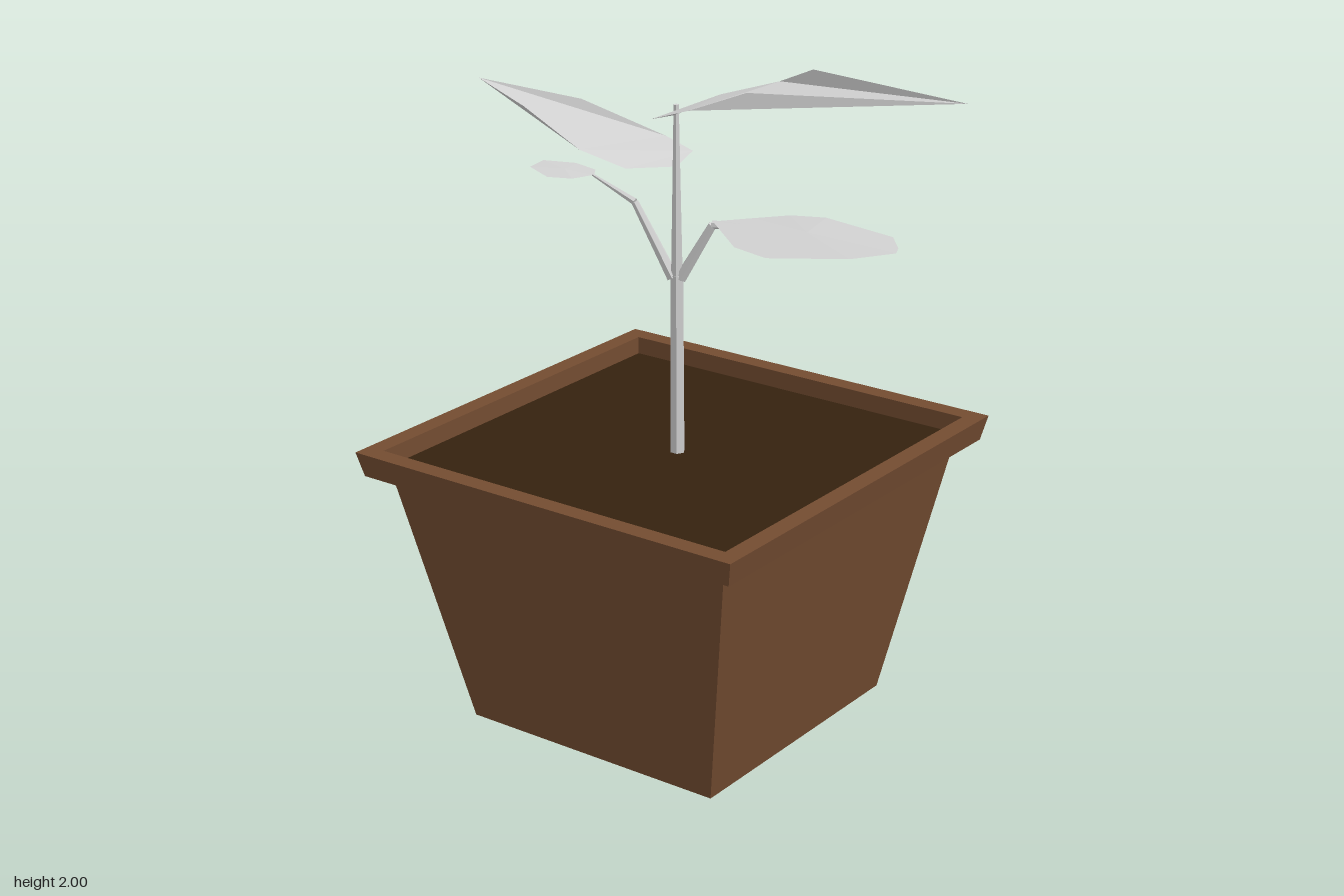
import * as THREE from 'three';

const V = (p) => new THREE.Vector3(...p);

// Faceted normals for the low-poly look
function faceted(geo) {
  const g = geo.index ? geo.toNonIndexed() : geo;
  g.computeVertexNormals();
  return g;
}

export function createModel() {
  const clay = new THREE.MeshStandardMaterial({ color: 0x734c31 });
  const earth = new THREE.MeshStandardMaterial({ color: 0x35220f });
  const stemGrey = new THREE.MeshStandardMaterial({ color: 0xd0d0d0 });
  const leafGrey = new THREE.MeshStandardMaterial({ color: 0xd2d2d2, side: THREE.DoubleSide });

  const model = new THREE.Group();
  const CZ = -0.105; // pot and stem axis

  function add(name, geo, mat, parent = model) {
    const m = new THREE.Mesh(faceted(geo), mat);
    m.name = name;
    parent.add(m);
    return m;
  }

  // Square pot: half-widths and heights turned in four steps
  const profile = [[0, 0], [0.435, 0], [0.59, 0.795], [0.645, 0.795], [0.662, 0.87], [0.605, 0.87], [0.605, 0.8]]
    .map(([r, y]) => new THREE.Vector2(r * Math.SQRT2, y));
  add('pot', new THREE.LatheGeometry(profile, 4, Math.PI / 4), clay).position.z = CZ;

  // Soil
  const soil = add('soil', new THREE.PlaneGeometry(1.21, 1.21).rotateX(-Math.PI / 2), earth);
  soil.position.set(0, 0.815, CZ);

  // Tapered limb between two points
  function limb(name, a, b, r0, r1) {
    const from = V(a), to = V(b), dir = to.clone().sub(from);
    const m = add(name, new THREE.CylinderGeometry(r1, r0, dir.length(), 6), stemGrey);
    m.position.copy(from).add(to).multiplyScalar(0.5);
    m.quaternion.setFromUnitVectors(new THREE.Vector3(0, 1, 0), dir.normalize());
  }
  limb('lowerStem', [0, 0.81, CZ], [0, 1.36, CZ], 0.022, 0.02);
  limb('upperStem', [0, 1.36, CZ], [0, 1.86, CZ], 0.018, 0.008);
  limb('frontStalk', [0.005, 1.35, -0.095], [0.03, 1.52, 0], 0.018, 0.013);
  limb('frontStalkEnd', [0.03, 1.52, 0], [0.05, 1.53, 0.1], 0.013, 0.004);
  limb('backStalk', [-0.005, 1.35, -0.115], [-0.025, 1.56, -0.235], 0.018, 0.011);
  limb('backStalkEnd', [-0.025, 1.56, -0.235], [-0.04, 1.62, -0.375], 0.011, 0.004);

  // Leaf sheet from corner points and triangles, turned so the faces look up
  function leaf(name, pts, faces) {
    const verts = [];
    for (const f of faces) {
      const [a, b, c] = f.map((i) => V(pts[i]));
      const up = b.clone().sub(a).cross(c.clone().sub(a)).y >= 0;
      for (const p of up ? [a, b, c] : [a, c, b]) verts.push(p.x, p.y, p.z);
    }
    const g = new THREE.BufferGeometry();
    g.setAttribute('position', new THREE.Float32BufferAttribute(verts, 3));
    add(name, g, leafGrey);
  }

  // Pointed leaves: base, shoulders, widest corners, turned-up edges, tip
  const pointed = [[0, 1, 2], [1, 3, 4], [1, 4, 2], [3, 7, 4], [3, 5, 7], [4, 7, 6]];
  leaf('topFrontLeaf', [
    [0, 1.83, -0.105], [0.165, 1.86, -0.07], [-0.17, 1.86, -0.065],
    [0.19, 1.92, 0.115], [-0.22, 1.92, 0.1],
    [0.163, 1.978, 0.245], [-0.163, 1.98, 0.25], [0.017, 2, 0.825],
  ], pointed);
  leaf('upperBackLeaf', [
    [0, 1.68, -0.105], [0.16, 1.68, -0.165], [-0.17, 1.705, -0.155],
    [0.2, 1.695, -0.29], [-0.205, 1.745, -0.29],
    [0.12, 1.785, -0.54], [-0.125, 1.812, -0.555], [0, 1.83, -0.83],
  ], pointed);

  // Rounded leaves: a fan about a slightly raised middle
  function roundLeaf(name, middle, rim) {
    leaf(name, [middle, ...rim], rim.map((_, i) => [0, i + 1, ((i + 1) % rim.length) + 1]));
  }
  roundLeaf('lowerFrontLeaf', [0.06, 1.545, 0.3], [
    [0.03, 1.53, 0], [0.14, 1.523, 0.06], [0.23, 1.522, 0.13], [0.262, 1.525, 0.23], [0.19, 1.535, 0.5],
    [0.09, 1.543, 0.58], [0.03, 1.55, 0.61], [-0.06, 1.54, 0.52], [-0.14, 1.522, 0.3], [-0.105, 1.52, 0.17],
  ]);
  roundLeaf('smallBackLeaf', [-0.05, 1.624, -0.47], [
    [-0.04, 1.62, -0.37], [-0.105, 1.619, -0.4], [-0.13, 1.618, -0.47], [-0.085, 1.621, -0.57],
    [-0.01, 1.622, -0.582], [0.028, 1.62, -0.49], [0.005, 1.62, -0.4],
  ]);

  return model;
}
